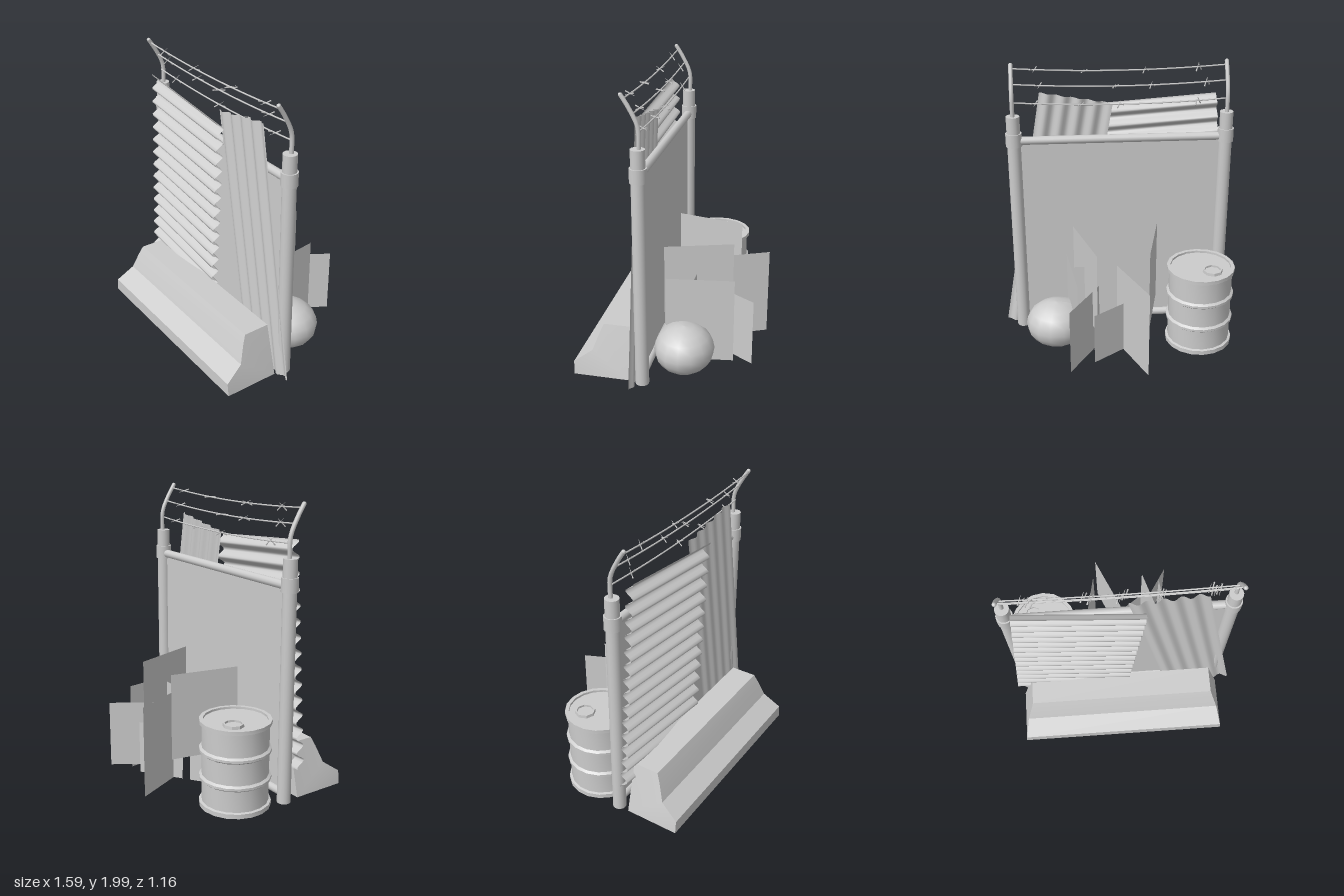
import * as THREE from 'three';
import { toCreasedNormals } from 'three/addons/utils/BufferGeometryUtils.js';

export function createModel() {
  const root = new THREE.Group();
  root.name = 'barricadedFence';
  const grey = new THREE.MeshStandardMaterial({ color: 0xcccccc, side: THREE.DoubleSide });
  grey.name = 'plain grey';

  const add = (name, geo, x = 0, y = 0, z = 0, parent = root) => {
    const mesh = new THREE.Mesh(geo, grey);
    mesh.name = name;
    mesh.position.set(x, y, z);
    parent.add(mesh);
    return mesh;
  };
  const vec = (x, y, z) => new THREE.Vector3(x, y, z);

  // Fence: posts, collars, bent arms, rails and infill panel
  const leftX = 0.675, rightX = -0.735, midX = -0.03, span = 1.41, fenceZ = 0.12;
  for (const x of [leftX, rightX]) {
    add('post', new THREE.CylinderGeometry(0.045, 0.045, 1.59, 16), x, 0.875, fenceZ);
    add('postCollar', new THREE.CylinderGeometry(0.054, 0.054, 0.09, 16), x, 1.51, fenceZ);
    const path = new THREE.CatmullRomCurve3([
      vec(x, 1.66, 0.112), vec(x, 1.8, 0.115), vec(x, 1.91, 0.165), vec(x, 1.99, 0.215)]);
    add('wireArm', new THREE.TubeGeometry(path, 10, 0.014, 8));
    add('wireArmCap', new THREE.SphereGeometry(0.014, 8, 6), x, 1.986, 0.213);
  }
  for (const y of [1.5, 0.14]) {
    const rail = add('rail', new THREE.CylinderGeometry(0.028, 0.028, span, 12), midX, y, fenceZ);
    rail.rotation.z = Math.PI / 2;
  }
  add('fencePanel', new THREE.PlaneGeometry(span, 1.37), midX, 0.815, fenceZ);

  // Three sagging strands with crossed barbs
  const strands = [
    [1.965, 0.2, [-0.55, -0.2, 0.2, 0.53]],
    [1.875, 0.15, [-0.6, -0.24, 0, 0.5]],
    [1.76, 0.125, [-0.54, -0.03, 0.23, 0.53]]];
  for (const [y, z, barbs] of strands) {
    const curve = new THREE.QuadraticBezierCurve3(
      vec(rightX, y, z), vec(midX, y - 0.05, z), vec(leftX, y, z));
    add('barbedWire', new THREE.TubeGeometry(curve, 16, 0.005, 6));
    barbs.forEach((x, i) => {
      const p = curve.getPoint((x - rightX) / span);
      for (const side of [-1, 1]) {
        const barb = add('barb', new THREE.CylinderGeometry(0.001, 0.005, 0.07, 4),
          p.x + side * 0.008, p.y, p.z);
        barb.rotation.set(side * (0.7 + i * 0.4), 0, side * 0.35);
      }
    });
  }

  // Corrugated sheets: waves run along the height or across the width
  const sheet = (name, w, h, alongY, period, depth) => {
    const waves = (alongY ? h : w) / period, cuts = Math.round(waves * 8);
    const geo = new THREE.PlaneGeometry(w, h, alongY ? 1 : cuts, alongY ? cuts : 1);
    const p = geo.attributes.position;
    for (let i = 0; i < p.count; i++) {
      const t = alongY ? p.getY(i) : p.getX(i);
      p.setZ(i, depth * Math.sin((t / period) * Math.PI * 2));
    }
    geo.computeVertexNormals();
    return add(name, geo);
  };
  const wide = sheet('wideCorrugatedSheet', 0.81, 1.46, true, 0.1, 0.028);
  wide.position.set(-0.333, 1.005, 0.216);
  wide.rotation.set(0, -0.03, -0.081);
  const narrow = sheet('narrowCorrugatedSheet', 0.487, 1.745, false, 0.105, 0.012);
  narrow.position.set(0.406, 0.909, 0.17);
  narrow.rotation.z = 0.17;

  // Concrete barrier: cross-section swept along x, ends leaning inward
  const section = new THREE.Shape([
    [-0.21, 0.095], [-0.21, 0.445], [-0.388, 0.445], [-0.415, 0.385],
    [-0.457, 0.27], [-0.578, 0.185], [-0.578, 0.095],
  ].map(([a, b]) => new THREE.Vector2(a, b)));
  const barrier = new THREE.ExtrudeGeometry(section, { depth: 2, bevelEnabled: false });
  barrier.translate(0, 0, -1).rotateY(Math.PI / 2);
  const bp = barrier.attributes.position;
  for (let i = 0; i < bp.count; i++) {
    const t = Math.max(0, (bp.getY(i) - 0.15) / 0.295);
    bp.setX(i, -0.035 + bp.getX(i) * (0.73 - 0.085 * t));
  }
  add('concreteBarrier', toCreasedNormals(barrier, 0.5));

  // Drum: ribbed body, recessed lid and bung
  const drum = new THREE.Group();
  drum.name = 'drum';
  drum.position.set(-0.562, 0.08, -0.145);
  root.add(drum);
  const profile = [[0, 0], [0.232, 0], [0.232, 0.03], [0.216, 0.035]];
  for (const y of [0.195, 0.38]) {
    profile.push([0.216, y - 0.02], [0.232, y - 0.008], [0.232, y + 0.008], [0.216, y + 0.02]);
  }
  profile.push([0.216, 0.55], [0.232, 0.555], [0.232, 0.58], [0.207, 0.58], [0.207, 0.565], [0, 0.565]);
  const drumGeo = new THREE.LatheGeometry(profile.map(([r, y]) => new THREE.Vector2(r, y)), 18);
  add('drumBody', toCreasedNormals(drumGeo, 0.6), 0, 0, 0, drum);
  const bungRing = [[0.068, 0], [0.066, 0.02], [0.056, 0.02], [0.056, 0.006], [0, 0.006]];
  const bung = new THREE.LatheGeometry(bungRing.map(([r, y]) => new THREE.Vector2(r, y)), 8);
  add('drumBung', toCreasedNormals(bung, 0.6), -0.07, 0.565, -0.07, drum);

  // Sack: rounded body pulled out into a tied neck
  const sack = new THREE.SphereGeometry(1, 14, 10);
  const sp = sack.attributes.position;
  const neck = vec(-0.77, 0.3, 0.56).normalize(), v = vec(0, 0, 0);
  for (let i = 0; i < sp.count; i++) {
    v.fromBufferAttribute(sp, i);
    const pull = Math.pow(Math.max(0, v.dot(neck)), 12) * 0.42;
    v.addScaledVector(neck, pull);
    v.y = Math.max(v.y, -0.92);
    sp.setXYZ(i, v.x * 0.212, v.y * 0.165, v.z * 0.2);
  }
  sack.computeVertexNormals();
  add('sack', sack, 0.432, 0.225, -0.105);

  // Weed cards: upright flat panels given as x0, z0, x1, z1, bottom, top
  const cards = [
    [-0.185, -0.38, -0.283, 0.08, 0.3, 0.885],
    [0.16, -0.38, 0.3, 0.06, 0.3, 0.885],
    [-0.165, -0.58, 0.015, -0.18, 0.08, 0.7],
    [0.29, -0.41, 0.35, 0.04, 0.08, 0.68],
    [0.324, -0.146, 0.03, -0.15, 0.08, 0.68],
    [0.348, -0.545, 0.14, -0.22, 0.11, 0.57],
    [0.183, -0.407, -0.077, -0.225, 0.08, 0.45],
    [-0.122, -0.194, -0.2, -0.14, 0.08, 0.45]];
  for (const [x0, z0, x1, z1, y0, y1] of cards) {
    const geo = new THREE.PlaneGeometry(Math.hypot(x1 - x0, z1 - z0), y1 - y0);
    const card = add('weedCard', geo, (x0 + x1) / 2, (y0 + y1) / 2, (z0 + z1) / 2);
    card.rotation.y = -Math.atan2(z1 - z0, x1 - x0);
  }
  return root;
}
